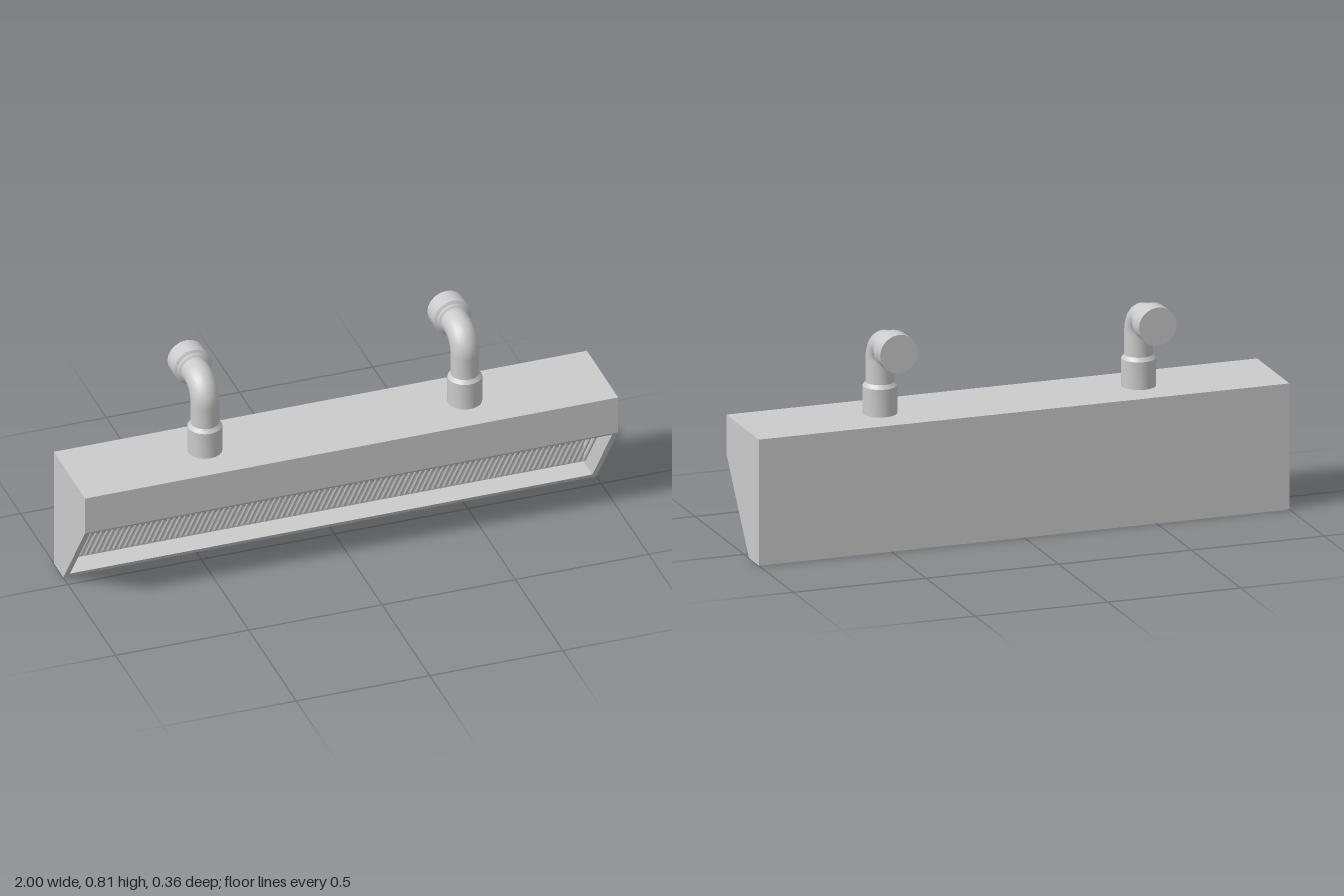
import * as THREE from 'three';
import { mergeGeometries, toCreasedNormals } from 'three/addons/utils/BufferGeometryUtils.js';

const material = new THREE.MeshStandardMaterial({ color: 0xcccccc });

function mesh(name, geometry, parent) {
  const m = new THREE.Mesh(geometry, material);
  m.name = name;
  parent.add(m);
  return m;
}

// Extrudes a (z, y) outline along x, centred on x = 0
function sidewaysExtrude(points, width) {
  const shape = new THREE.Shape(points.map(([z, y]) => new THREE.Vector2(z, y)));
  const g = new THREE.ExtrudeGeometry(shape, { depth: width, bevelEnabled: false });
  return g.translate(0, 0, -width / 2).rotateY(-Math.PI / 2);
}

function lathe(points) {
  const g = new THREE.LatheGeometry(points.map(([r, y]) => new THREE.Vector2(r, y)), 20);
  return toCreasedNormals(g, 0.6);
}

// Vertical socket, quarter bend and closed rear coupling
function createPipe(x) {
  const pipe = new THREE.Group();
  pipe.name = 'elbowPipe';
  pipe.position.set(x, 0, 0.015);
  const r = 0.051, bend = 0.07, bendY = 0.665;

  mesh('lowerSocket', lathe([
    [0, 0.465], [0.062, 0.465], [0.062, 0.567], [r, 0.581], [r, bendY],
  ]), pipe);

  const elbow = mesh('elbow', new THREE.TorusGeometry(bend, r, 20, 8, Math.PI / 2), pipe);
  elbow.rotation.y = -Math.PI / 2;
  elbow.position.set(0, bendY, -bend);

  const coupling = mesh('rearCoupling', lathe([
    [r, 0], [r, 0.036], [0.06, 0.042], [0.06, 0.05],
    [0.071, 0.056], [0.071, 0.125], [0, 0.125],
  ]), pipe);
  coupling.rotation.x = -Math.PI / 2;
  coupling.position.set(0, bendY + bend, -bend);
  return pipe;
}

export function createModel() {
  const model = new THREE.Group();
  model.name = 'wallHood';

  // Housing with a recess behind its slanted front
  const wall = 0.02;
  mesh('housing', sidewaysExtrude([
    [0.18, 0.465], [0.18, 0.32], [0.173, 0.31], [0.02, 0.31], [-0.13, 0.1],
    [-0.13, 0.02], [-0.036, 0.02], [-0.05, 0], [-0.15, 0], [-0.15, 0.465],
  ], 2 - 2 * wall), model);

  // Solid end panels
  for (const side of [-1, 1]) {
    const panel = mesh(side > 0 ? 'leftPanel' : 'rightPanel', sidewaysExtrude([
      [0.18, 0.465], [0.18, 0.32], [-0.05, 0], [-0.15, 0], [-0.15, 0.465],
    ], wall), model);
    panel.position.x = side * (1 - wall / 2);
  }

  // Row of slanted grille bars inside the recess
  const bottom = new THREE.Vector3(0, 0.06, -0.08);
  const top = new THREE.Vector3(0, 0.312, 0.1);
  const dir = top.clone().sub(bottom);
  const bar = new THREE.CylinderGeometry(0.0055, 0.0055, dir.length(), 6);
  bar.rotateX(Math.atan2(dir.z, dir.y));
  bar.translate(0, (bottom.y + top.y) / 2, (bottom.z + top.z) / 2);
  const count = 93, spacing = 0.021;
  const bars = [];
  for (let i = 0; i < count; i++) {
    bars.push(bar.clone().translate((i - (count - 1) / 2) * spacing, 0, 0));
  }
  mesh('grilleBars', mergeGeometries(bars), model);

  // Pair of pipes on the roof
  for (const x of [-0.492, 0.483]) model.add(createPipe(x));

  return model;
}
